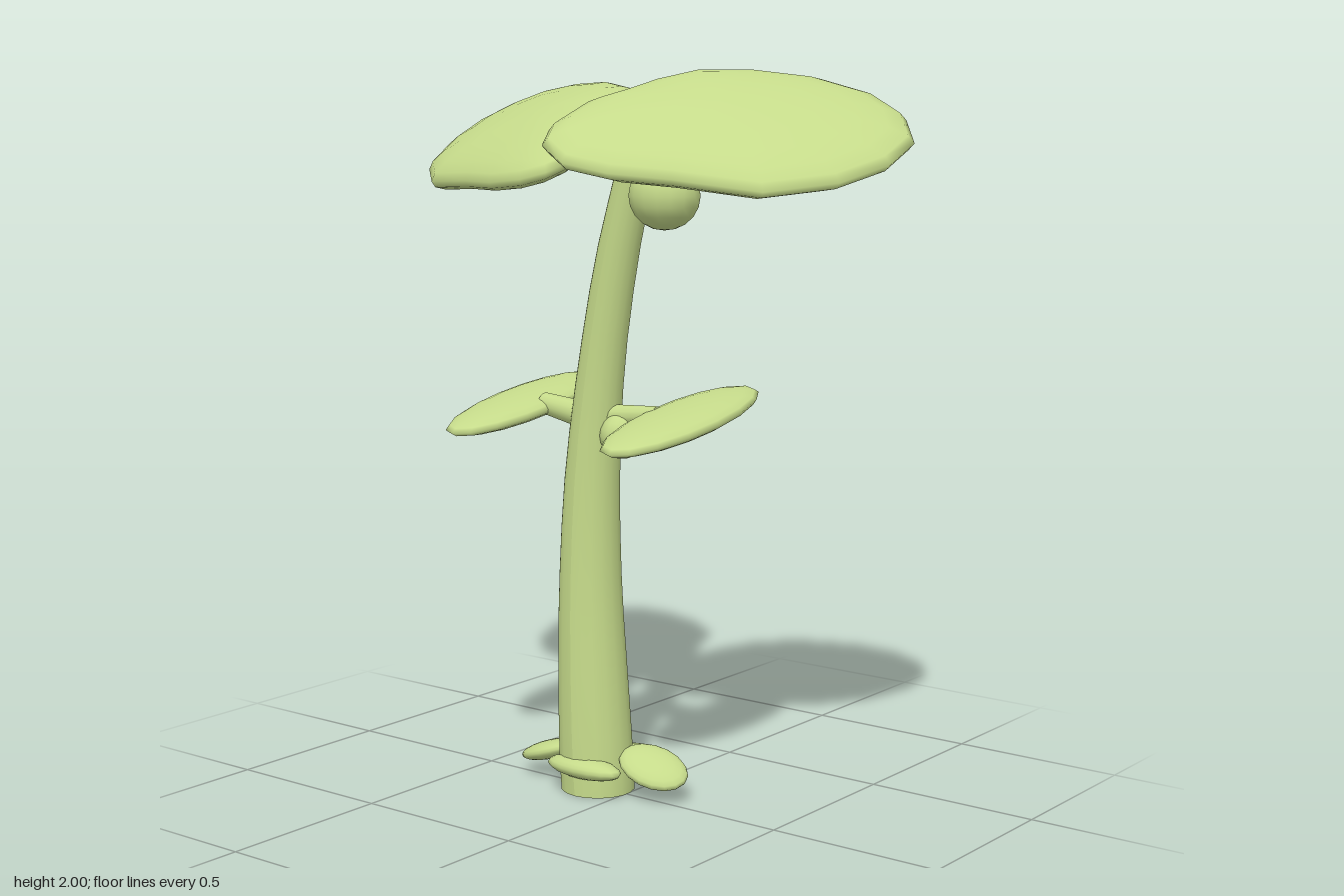
import * as THREE from 'three';
import { mergeVertices } from 'three/addons/utils/BufferGeometryUtils.js';

const green = new THREE.MeshStandardMaterial({ color: 0xc5da8a });

function add(parent, name, geometry) {
  const mesh = new THREE.Mesh(geometry, green);
  mesh.name = name;
  parent.add(mesh);
  return mesh;
}

// Ellipsoid used for buds and small leaves
function ellipsoid(parent, name, position, radii, rotation = [0, 0, 0]) {
  const mesh = add(parent, name, new THREE.SphereGeometry(1, 16, 10));
  mesh.position.set(...position);
  mesh.scale.set(...radii);
  mesh.rotation.set(...rotation);
  return mesh;
}

// Curved, tapering stem: a cylinder whose rings follow [y, centre x, radius]
function stemGeometry() {
  const rings = [[0, -0.1, 0.104], [0.1, -0.106, 0.105], [0.35, -0.118, 0.098], [0.6, -0.125, 0.088],
    [0.9, -0.117, 0.077], [1.2, -0.085, 0.065], [1.5, -0.03, 0.059], [1.76, 0.04, 0.053]];
  const path = new THREE.CatmullRomCurve3(rings.map((r) => new THREE.Vector3(...r)));
  const geo = new THREE.CylinderGeometry(1, 1, 1, 18, 16);
  const p = geo.attributes.position;
  for (let i = 0; i < p.count; i++) {
    const ring = path.getPoint(p.getY(i) + 0.5);
    p.setXYZ(i, ring.y + p.getX(i) * ring.z, ring.x, p.getZ(i) * ring.z);
  }
  geo.computeVertexNormals();
  return geo;
}

// Cushioned leaf: a sphere stretched to an outline [x, z], lying on the plane y = a + b x + c z
function leafGeometry(outline, [a, b, c], thickness) {
  const n = outline.length;
  const cx = outline.reduce((s, q) => s + q[0], 0) / n;
  const cz = outline.reduce((s, q) => s + q[1], 0) / n;
  let geo = new THREE.SphereGeometry(1, n, 12);
  const p = geo.attributes.position;
  for (let i = 0; i < p.count; i++) {
    const [ox, oz] = outline[(i % (n + 1)) % n];
    const h = p.getY(i);
    const s = Math.sqrt(Math.max(0, 1 - h * h));
    const x = cx + (ox - cx) * s;
    const z = cz + (oz - cz) * s;
    p.setXYZ(i, x, a + b * x + c * z + h * thickness, z);
  }
  geo.deleteAttribute('uv');
  geo.deleteAttribute('normal');
  geo = mergeVertices(geo, 1e-5);
  geo.computeVertexNormals();
  return geo;
}

// Short twig between two points
function twig(parent, name, from, to, r0, r1) {
  const a = new THREE.Vector3(...from), b = new THREE.Vector3(...to);
  const dir = b.clone().sub(a);
  const mesh = add(parent, name, new THREE.CylinderGeometry(r1, r0, dir.length(), 12));
  mesh.position.copy(a).add(b).multiplyScalar(0.5);
  mesh.quaternion.setFromUnitVectors(new THREE.Vector3(0, 1, 0), dir.normalize());
}

export function createModel() {
  const plant = new THREE.Group();
  plant.name = 'sprout';

  add(plant, 'stem', stemGeometry());

  // Two large crown leaves
  const left = [[-0.03, 0.14], [-0.025, 0.29], [0.01, 0.36], [0.1, 0.395], [0.22, 0.36], [0.36, 0.28], [0.57, 0.18],
    [0.69, 0.02], [0.74, -0.14], [0.73, -0.27], [0.65, -0.36], [0.53, -0.4], [0.38, -0.38], [0.22, -0.3],
    [0.09, -0.19], [0.03, -0.06], [0, 0.05]];
  const right = [[-0.74, -0.22], [-0.73, -0.09], [-0.67, 0.05], [-0.55, 0.17], [-0.37, 0.23], [-0.23, 0.29],
    [-0.1, 0.32], [-0.02, 0.31], [0.02, 0.26], [0.02, 0.13], [-0.01, 0.05], [-0.08, -0.08], [-0.13, -0.21],
    [-0.28, -0.31], [-0.45, -0.37], [-0.59, -0.38], [-0.69, -0.32]];
  add(plant, 'leftCrownLeaf', leafGeometry(left, [1.94, -0.31, -0.36], 0.075));
  add(plant, 'rightCrownLeaf', leafGeometry(right, [1.87, 0.19, -0.42], 0.075));

  // Round buds beside the stem
  ellipsoid(plant, 'topBud', [0.13, 1.67, 0], [0.1, 0.092, 0.092]);
  ellipsoid(plant, 'middleBud', [-0.01, 1.015, 0], [0.06, 0.065, 0.07]);

  // Middle leaves on short twigs
  twig(plant, 'leftTwig', [-0.08, 1.06, 0], [0.11, 1.08, 0], 0.035, 0.025);
  twig(plant, 'rightTwig', [-0.12, 1.055, 0], [-0.29, 1.08, 0], 0.04, 0.03);
  ellipsoid(plant, 'leftMiddleLeaf', [0.185, 1.073, -0.005], [0.125, 0.035, 0.32], [0.17, 0, 0]);
  ellipsoid(plant, 'rightMiddleLeaf', [-0.365, 1.073, -0.005], [0.118, 0.035, 0.31], [0.17, 0, 0]);

  // Ring of small leaves at the foot
  ellipsoid(plant, 'leftBaseLeaf', [0.085, 0.09, -0.015], [0.105, 0.028, 0.075], [0.4, 0, -0.32]);
  ellipsoid(plant, 'rightBaseLeaf', [-0.27, 0.08, 0], [0.105, 0.027, 0.06], [0, 0, 0.32]);
  ellipsoid(plant, 'frontBaseLeaf', [-0.085, 0.08, 0.08], [0.125, 0.03, 0.05]);
  ellipsoid(plant, 'backBaseLeaf', [-0.04, 0.08, -0.105], [0.085, 0.03, 0.055]);

  return plant;
}
